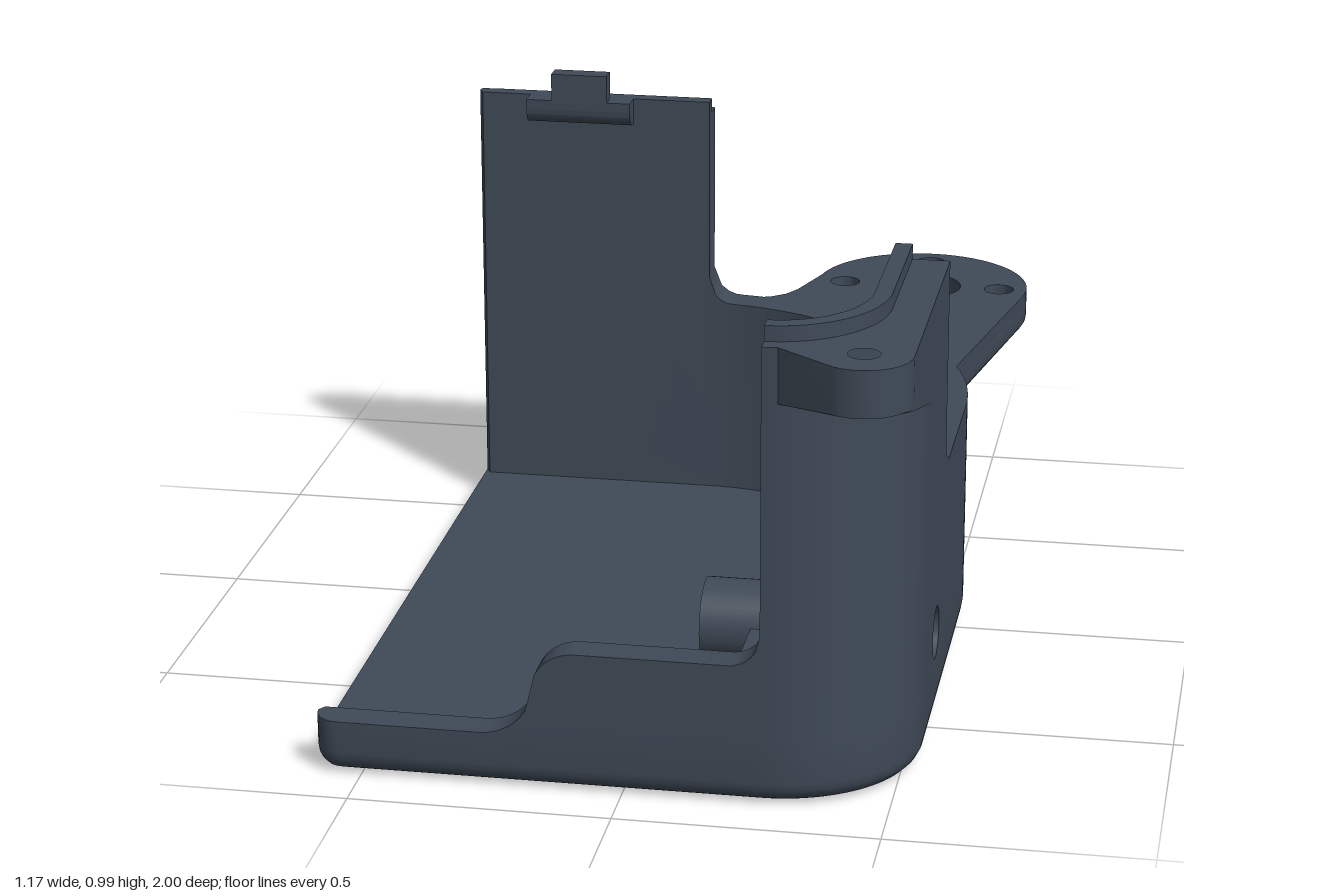
import * as THREE from 'three';
import { toCreasedNormals } from 'three/addons/utils/BufferGeometryUtils.js';

const V2 = (x, y) => new THREE.Vector2(x, y);
const FLOOR = 0.055, BASE = 0.002, ROUND = 0.045;
const HOLE_Y = 0.185, HOLE_Z = [-0.385, 0.465], WIN = 0.055;

// outer face of the side wall at a given z
const wallX = z => (z < -0.01 ? -0.085 + 0.62 * Math.sqrt(1 - ((z + 0.01) / 0.63) ** 2) : 0.535);
const range = (a, b, n) => Array.from({ length: n + 1 }, (_, i) => a + (b - a) * i / n);
// quarter-circle rise used by the fillets: 0 at u = 0, 1 at u = 1
const rise = u => 1 - Math.sqrt(Math.max(0, 1 - u * u));

// Stations around the plan: outer point, inward normal, inner point, height, lip height
function wallStations() {
  const out = [];
  const add = (ox, oz, nx, nz, ix, iz, top, lip = 0) => out.push({ ox, oz, nx, nz, ix, iz, top, lip });
  // back left corner and tall back wall
  for (const a of range(0, Math.PI / 2, 6)) {
    const c = Math.cos(a), s = Math.sin(a);
    add(-0.54 - 0.05 * c, -0.59 - 0.05 * s, c, s, -0.58 + 0.04 * a / (Math.PI / 2), -0.57, 0.9, 0.03);
  }
  add(-0.085, -0.64, 0, 1, -0.085, -0.57, 0.9, 0.03);
  // large rounded back corner, with stations on the window edges
  const angles = range(Math.PI / 2, 0, 60);
  for (const r of [0.63, 0.56]) for (const d of [0.43, 0.32]) angles.push(Math.asin(d / r));
  angles.sort((a, b) => b - a);
  for (const a of angles) {
    const c = Math.cos(a), s = Math.sin(a), u = Math.max(0, 1 - 0.62 * c / 0.06);
    add(-0.085 + 0.62 * c, -0.01 - 0.63 * s, -c, s, -0.085 + 0.515 * c, -0.01 - 0.56 * s, 0.48 + 0.06 * rise(u));
  }
  // side wall
  for (const z of range(0.28, 0.35, 7)) add(0.535, z, -1, 0, 0.43, z, 0.48 + 0.06 * rise((z - 0.28) / 0.07));
  for (const z of [0.35, 0.465 - WIN, 0.465 + WIN]) add(0.535, z, -1, 0, 0.43, z, 0.9, 0.03);
  // front corner
  for (const a of range(0, Math.PI / 2, 20)) {
    const c = Math.cos(a), s = Math.sin(a);
    add(0.26 + 0.275 * c, 0.65 + 0.255 * s, -c, -s, 0.26 + 0.17 * c, 0.65 + 0.19 * s, 0.9, 0.03);
  }
  // stepped front wall
  const front = (x, h) => add(x, 0.905, 0, -1, x, 0.84, h);
  for (const x of range(0.26, 0.2, 7)) front(x, 0.28 + 0.06 * rise((x - 0.2) / 0.06));
  for (const x of range(-0.085, -0.17, 10)) front(x, 0.28 - 0.08 * rise((-0.085 - x) / 0.085));
  for (const x of range(-0.17, -0.27, 10)) front(x, 0.11 + 0.09 * rise((x + 0.27) / 0.1));
  for (const a of range(Math.PI / 2, 0, 6)) {
    const c = Math.cos(a), s = Math.sin(a);
    add(-0.54 - 0.05 * c, 0.855 + 0.05 * s, c, -s, -0.58 + 0.04 * a / (Math.PI / 2), 0.84, 0.11);
  }
  // open left side, only as high as the floor
  add(-0.59, 0.855, 1, 0, -0.58, 0.84, FLOOR);
  add(-0.59, 0.855, 1, 0, -0.525, 0.84, FLOOR);
  add(-0.59, -0.59, 1, 0, -0.525, -0.57, FLOOR);
  add(-0.59, -0.59, 1, 0, -0.58, -0.57, FLOOR);
  return out;
}

// cross-section of the wall at one station, from the rounded foot over the lip to the floor
function section(s) {
  const pts = [];
  for (const t of range(0, Math.PI / 2, 5)) {
    const d = ROUND * (1 - Math.sin(t));
    pts.push([s.ox + s.nx * d, BASE + ROUND * (1 - Math.cos(t)), s.oz + s.nz * d]);
  }
  const rows = [HOLE_Y - WIN, HOLE_Y + WIN].map(y => Math.min(y, s.top));
  const k = Math.max(0, 1 - 0.033 / Math.hypot(s.ix - s.ox, s.iz - s.oz));
  const lx = s.ox + (s.ix - s.ox) * k, lz = s.oz + (s.iz - s.oz) * k;
  for (const y of [...rows, s.top]) pts.push([s.ox, y, s.oz]);
  pts.push([lx, s.top, lz], [lx, s.top + s.lip, lz]);
  for (const y of [s.top + s.lip, rows[1], rows[0], FLOOR]) pts.push([s.ix, y, s.iz]);
  return pts;
}

function wallGeometry(stations) {
  const rings = stations.map(section), pos = [];
  const inWindow = q => {
    const m = [0, 1, 2].map(k => q.reduce((t, p) => t + p[k], 0) / 4);
    return m[0] > 0.2 && Math.abs(m[1] - HOLE_Y) < WIN && HOLE_Z.some(z => Math.abs(m[2] - z) < WIN);
  };
  rings.forEach((r, i) => {
    const n = rings[(i + 1) % rings.length];
    for (let j = 0; j < r.length - 1; j++) {
      const [a, b, c, d] = [r[j], n[j], n[j + 1], r[j + 1]];
      if (!inWindow([a, b, c, d])) pos.push(...a, ...d, ...c, ...a, ...c, ...b);
    }
  });
  const g = new THREE.BufferGeometry();
  g.setAttribute('position', new THREE.Float32BufferAttribute(pos, 3));
  return toCreasedNormals(g, 0.6);
}

const circle = (x, y, r) => new THREE.Path().absarc(x, y, r, 0, Math.PI * 2, true);

// plan outline [x, z] raised from y0 to y1, optionally with rounded edges
function slab(points, holes, y0, y1, bevel = 0) {
  const shape = new THREE.Shape(points.map(([x, z]) => V2(x, -z)));
  for (const [x, z, r] of holes) shape.holes.push(circle(x, -z, r));
  const g = new THREE.ExtrudeGeometry(shape, {
    depth: y1 - y0 - 2 * bevel, bevelEnabled: bevel > 0, bevelThickness: bevel,
    bevelSize: bevel, bevelOffset: -bevel, bevelSegments: 4, curveSegments: 24,
  });
  return g.rotateX(-Math.PI / 2).translate(0, y0 + bevel, 0);
}

// profile pushed along x between two limits that may follow the wall
function alongX(shape, y, z, xa, xb) {
  const g = new THREE.ExtrudeGeometry(shape, { depth: 1, bevelEnabled: false, curveSegments: 24 });
  g.rotateY(Math.PI / 2).translate(0, y, z);
  const p = g.attributes.position;
  for (let i = 0; i < p.count; i++) p.setX(i, p.getX(i) < 0.5 ? xa(p.getZ(i)) : xb(p.getZ(i)));
  g.computeVertexNormals();
  return toCreasedNormals(g, 0.6);
}

export function createModel() {
  const model = new THREE.Group();
  model.name = 'housing';
  const slate = new THREE.MeshStandardMaterial({ color: 0x3f4a57 });
  slate.name = 'slate';
  const rust = new THREE.MeshStandardMaterial({ color: 0xb8684f });
  rust.name = 'rust';
  const put = (name, g, mat = slate) => {
    const m = new THREE.Mesh(g, mat);
    m.name = name;
    model.add(m);
    return m;
  };
  const box = (name, x0, x1, y0, y1, z0, z1) =>
    put(name, new THREE.BoxGeometry(x1 - x0, y1 - y0, z1 - z0).translate((x0 + x1) / 2, (y0 + y1) / 2, (z0 + z1) / 2));

  // walls and floor
  const st = wallStations();
  put('walls', wallGeometry(st));
  put('floorTop', new THREE.ShapeGeometry(new THREE.Shape(st.map(s => V2(s.ix, -s.iz))))
    .rotateX(-Math.PI / 2).translate(0, FLOOR, 0));
  put('floorBottom', new THREE.ShapeGeometry(new THREE.Shape(
    st.map(s => V2(s.ox + s.nx * ROUND, s.oz + s.nz * ROUND)))).rotateX(Math.PI / 2).translate(0, BASE, 0));

  // motor mount plate
  const mount = [[0.485, -0.22]];
  for (const a of range(-0.18, Math.PI + 0.3, 40)) mount.push([0.355 + 0.23 * Math.cos(a), -0.77 - 0.23 * Math.sin(a)]);
  mount.length -= 4;
  mount.push([0.135, -0.83], [0.09, -0.695], [0.07, -0.66], [0.04, -0.635], [0, -0.622], [-0.04, -0.628], [-0.08, -0.638]);
  for (const a of range(1.5, 0.42, 16)) mount.push([-0.085 + 0.58 * Math.cos(a), -0.01 - 0.6 * Math.sin(a)]);
  const holes = [[0.355, -0.77, 0.085], [0.355, -0.94, 0.032], [0.355, -0.6, 0.032], [0.185, -0.77, 0.032], [0.525, -0.77, 0.032]];
  put('mountPlateTop', toCreasedNormals(slab(mount, holes, 0.43, 0.48), 0.6));
  put('mountPlateUnderside', toCreasedNormals(slab(mount, holes, 0.4, 0.47, 0.02), 0.6));

  // screw ear on the front corner, its underside running down into the wall
  const ear = [[0.535, 0.65]];
  for (const a of range(0, 2.1, 16)) ear.push([0.445 + 0.09 * Math.cos(a), 0.91 + 0.09 * Math.sin(a)]);
  for (const a of range(Math.PI / 2, 0, 10)) ear.push([0.26 + 0.22 * Math.cos(a), 0.65 + 0.23 * Math.sin(a)]);
  const earGeo = slab(ear, [[0.445, 0.91, 0.03]], 0.81, 0.9);
  const p = earGeo.attributes.position;
  for (let i = 0; i < p.count; i++) if (p.getY(i) < 0.85) p.setY(i, p.getY(i) - 0.3 * Math.max(0, 0.95 - p.getZ(i)));
  earGeo.computeVertexNormals();
  put('screwEar', toCreasedNormals(earGeo, 0.6));

  // hollow screw bosses and the countersunk openings in the side wall
  for (const z of HOLE_Z) {
    const ring = new THREE.Shape().absarc(0, 0, 0.08, 0, Math.PI * 2, false);
    ring.holes.push(circle(0, 0, 0.03));
    put('screwBoss', alongX(ring, HOLE_Y, z, () => 0.085, q => wallX(q) - 0.04));
    const frame = new THREE.Shape([V2(-WIN, -WIN), V2(WIN, -WIN), V2(WIN, WIN), V2(-WIN, WIN)]);
    frame.holes.push(circle(0, 0, 0.052));
    put('screwOpening', alongX(frame, HOLE_Y, z, q => wallX(q) - 0.04, wallX));
  }

  // small U-shaped bracket inside
  box('bracketArm', 0.185, 0.45, 0.05, 0.2, 0.54, 0.58);
  box('bracketArm', 0.185, 0.45, 0.05, 0.2, 0.645, 0.68);
  box('bracketEnd', 0.185, 0.22, 0.05, 0.2, 0.58, 0.645);

  // latch on the back wall
  const latch = new THREE.Shape();
  latch.moveTo(0.58, 0.93).lineTo(0.527, 0.93).lineTo(0.527, 0.915);
  latch.quadraticCurveTo(0.527, 0.875, 0.565, 0.875);
  latch.lineTo(0.58, 0.875);
  put('latchBar', alongX(latch, 0, 0, () => -0.475, () => -0.25));
  box('latchTab', -0.42, -0.3, 0.92, 0.988, -0.567, -0.527);

  // staggered chevron marks under the floor, halved where they meet the side
  const w = 0.14, d = 0.11, t = 0.035;
  [[-0.33, [-0.2, 0.17]], [0.02, [-0.39, -0.01, 0.37]], [0.365, [-0.2, 0.17]], [0.71, [-0.39, -0.01, 0.37]]].forEach(([z, xs]) => {
    for (const x of xs) for (const k of [0, 1, 2]) {
      const z0 = z - 0.14 + k * 0.07;
      const half = [[x, z0 + t], [x - w, z0 + d + t], [x - w, z0 + d], [x, z0]];
      const pts = x > 0.3 ? half : [...half, [x + w, z0 + d], [x + w, z0 + d + t]];
      put('chevronMark', slab(pts, [], 0, 0.004), rust);
    }
  });
  return model;
}
